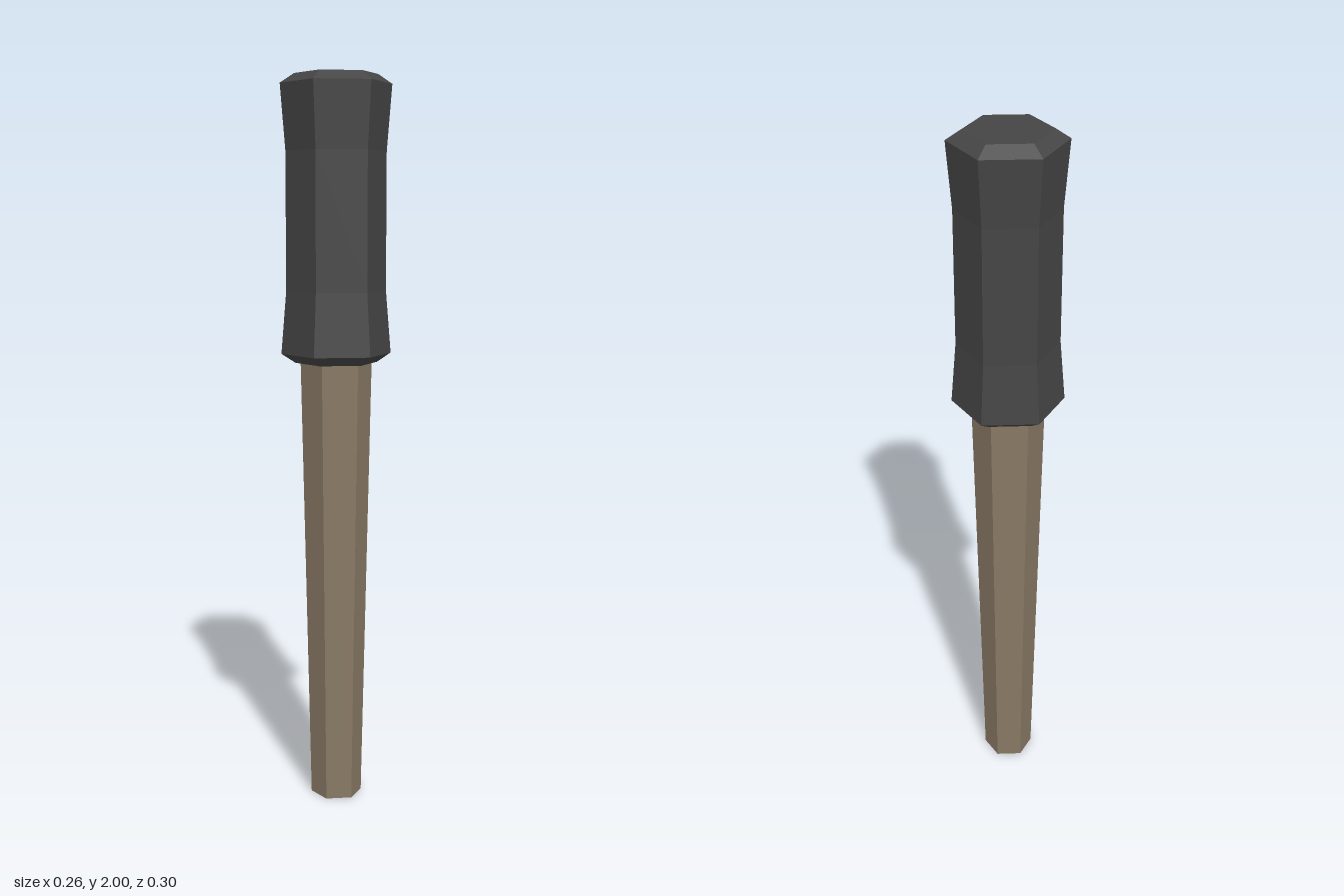
import * as THREE from 'three';

// Six-sided solid of revolution with a corner facing +z; profile is [radius, y] from bottom to top.
function hexSolid(name, profile, material) {
  const points = profile.map(([r, y]) => new THREE.Vector2(r, y));
  const mesh = new THREE.Mesh(new THREE.LatheGeometry(points, 6), material);
  mesh.name = name;
  return mesh;
}

export function createModel() {
  const wood = new THREE.MeshStandardMaterial({ color: 0x887964, flatShading: true });
  wood.name = 'wood';
  const iron = new THREE.MeshStandardMaterial({ color: 0x454545, flatShading: true });
  iron.name = 'dark iron';

  const model = new THREE.Group();
  model.name = 'club';

  // Tapered handle, thin end on the ground
  model.add(hexSolid('handle', [[0, 0], [0.071, 0], [0.098, 1.25], [0, 1.25]], wood));

  // Waisted head with bevelled ends
  model.add(hexSolid('head', [
    [0, 1.235], [0.112, 1.235], [0.15, 1.26], [0.136, 1.43],
    [0.136, 1.8], [0.15, 1.975], [0.112, 2], [0, 2],
  ], iron));

  return model;
}
